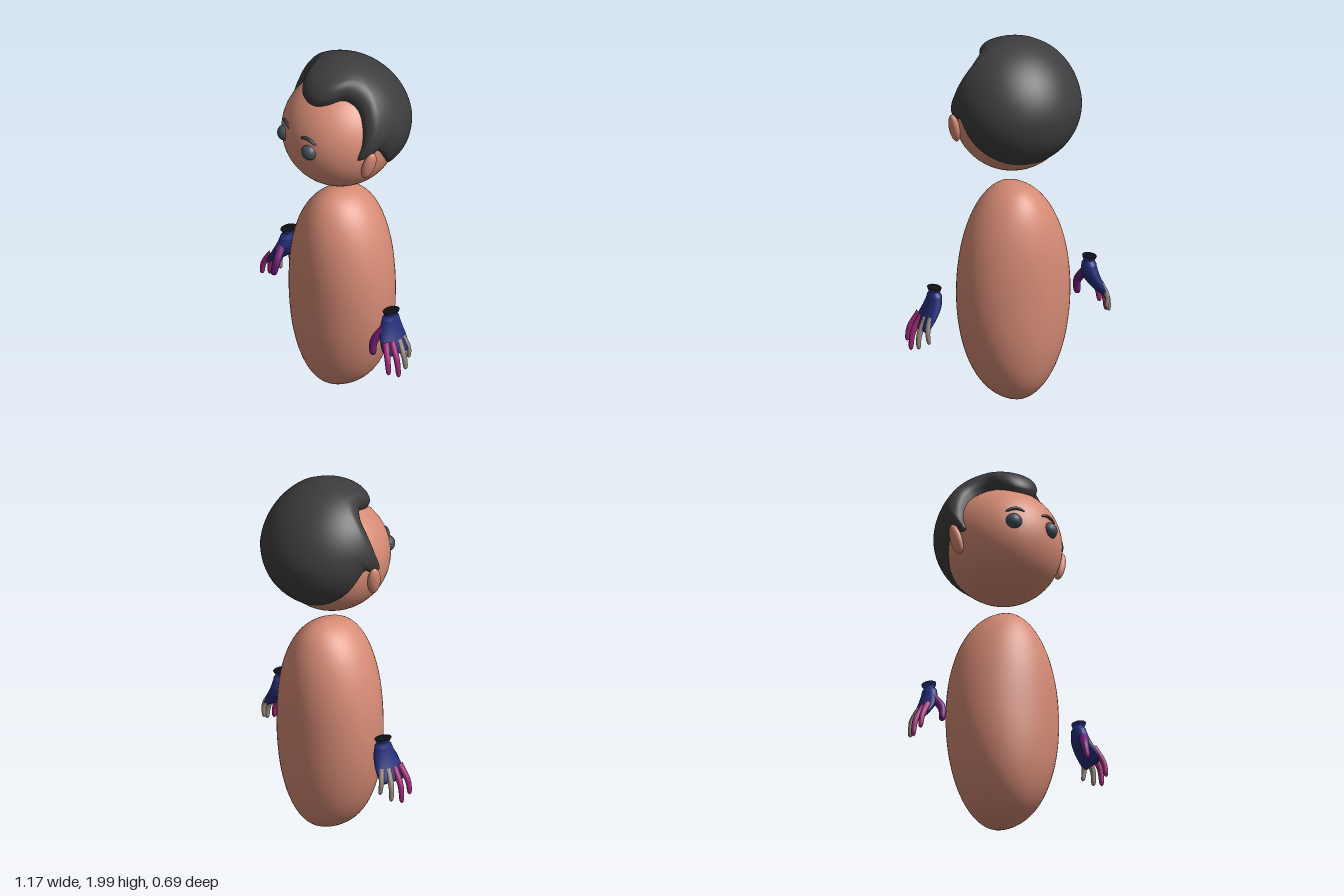
import * as THREE from 'three';
import { mergeVertices } from 'three/addons/utils/BufferGeometryUtils.js';
import { ParametricGeometry } from 'three/addons/geometries/ParametricGeometry.js';

const V = (x, y, z) => new THREE.Vector3(x, y, z);
const mat = (color, side = THREE.FrontSide) => new THREE.MeshStandardMaterial({ color, side });
const SKIN = mat(0xd68b75), HAIR = mat(0x3d3d3f, THREE.DoubleSide), EYE = mat(0x434f58);
const NAVY = mat(0x25307c, THREE.DoubleSide), DARK = mat(0x101012);
const MAGENTA = mat(0xa02a78), TAN = mat(0x9a8a80), PLUM = mat(0x6a1c74);

const HEAD = V(0, 1.585, 0.03), HEAD_R = 0.305;

function add(parent, name, geometry, material) {
  const mesh = new THREE.Mesh(geometry, material);
  mesh.name = name;
  parent.add(mesh);
  return mesh;
}

// Quarter-circle falloff: 1 at s <= 0, 0 at s >= 1
function roundOff(s) {
  const c = THREE.MathUtils.clamp(s, 0, 1);
  return Math.sqrt(1 - c * c);
}

// Welds seams so the surface shades smoothly
function smooth(g) {
  g.deleteAttribute('uv');
  g.deleteAttribute('normal');
  const welded = mergeVertices(g, 1e-5);
  welded.computeVertexNormals();
  return welded;
}

// Tube through points whose radius follows a rule
function sweep(points, radius, segments = 20, sides = 14) {
  const curve = new THREE.CatmullRomCurve3(points);
  const g = new THREE.TubeGeometry(curve, segments, 1, sides, false);
  const p = g.attributes.position, v = V();
  for (let i = 0; i < p.count; i++) {
    const t = Math.floor(i / (sides + 1)) / segments;
    const c = curve.getPointAt(t);
    v.fromBufferAttribute(p, i).sub(c).multiplyScalar(radius(t)).add(c);
    p.setXYZ(i, v.x, v.y, v.z);
  }
  return smooth(g);
}

// Egg-shaped body: elliptical from the front, fuller from the side
function bodyGeometry() {
  const g = new THREE.SphereGeometry(1, 56, 40);
  const p = g.attributes.position;
  for (let i = 0; i < p.count; i++) {
    const y = THREE.MathUtils.clamp(p.getY(i), -1, 1);
    const ring = Math.sqrt(Math.max(1e-6, 1 - y * y));
    const depth = Math.pow(1 - Math.pow(Math.abs(y), 2.6), 1 / 2.6);
    p.setXYZ(i, p.getX(i) * 0.305, 0.6 + y * 0.595, 0.018 + (p.getZ(i) / ring) * depth * 0.262);
  }
  return smooth(g);
}

// Hair: a shell spread from the crown to a hairline, rolling into the head at its edge
function hairGeometry() {
  const centre = V(0, 1.65, 0), crown = V(0, 0.8, -0.6);
  const side = [
    [0.06, 1.83, 0.225], [0.1, 1.845, 0.18], [0.135, 1.86, 0.1], [0.2, 1.825, 0.062],
    [0.255, 1.75, 0.07], [0.283, 1.66, 0.095], [0.285, 1.575, 0.125], [0.295, 1.59, 0.06],
    [0.296, 1.61, 0.02], [0.27, 1.48, -0.07], [0.17, 1.39, -0.14],
  ];
  const line = new THREE.CatmullRomCurve3([
    V(0, 1.82, 0.235), ...side.map(([x, y, z]) => V(-x, y, z)),
    V(0, 1.365, -0.18), ...side.map(([x, y, z]) => V(x, y, z)).reverse(),
  ], true);
  const offset = HEAD.clone().sub(centre);
  return smooth(new ParametricGeometry((u, v, out) => {
    const edge = line.getPointAt(u % 1).sub(centre).normalize();
    const angle = crown.angleTo(edge);
    out.copy(crown).multiplyScalar(Math.sin((1 - v) * angle))
      .addScaledVector(edge, Math.sin(v * angle)).normalize();
    // Distance to the head's surface along this direction
    const d = out.dot(offset);
    const inner = d + Math.sqrt(d * d + HEAD_R ** 2 - offset.lengthSq());
    const backDip = 0.018 * Math.max(0, -2 * out.y * out.z);
    const outer = Math.max(0.347 - backDip, inner + 0.012);
    const r = THREE.MathUtils.lerp(inner - 0.004, outer, roundOff((v - 0.72) / 0.28));
    out.multiplyScalar(r).add(centre);
  }, 144, 44));
}

// Palm: oval sections from the open wrist down to the knuckles [y, x, z, rx, rz]
function palmGeometry() {
  const rows = [
    [0.695, 0.457, 0.032, 0.034, 0.048], [0.655, 0.455, 0.034, 0.034, 0.048],
    [0.6, 0.463, 0.038, 0.04, 0.064], [0.55, 0.485, 0.042, 0.036, 0.077],
    [0.505, 0.512, 0.045, 0.027, 0.082], [0.48, 0.527, 0.045, 0.019, 0.076],
    [0.468, 0.532, 0.045, 0.002, 0.06],
  ];
  const pos = new THREE.CatmullRomCurve3(rows.map((r) => V(r[1], r[0], r[2])));
  const size = new THREE.CatmullRomCurve3(rows.map((r) => V(r[3], 0, r[4])));
  return smooth(new ParametricGeometry((u, v, out) => {
    const a = (u % 1) * Math.PI * 2, c = pos.getPoint(v), s = size.getPoint(v);
    out.set(c.x + Math.cos(a) * s.x, c.y, c.z + Math.sin(a) * s.z);
  }, 28, 24));
}

function hand() {
  const g = new THREE.Group();
  add(g, 'palm', palmGeometry(), NAVY);
  const cap = add(g, 'wristOpening', new THREE.CircleGeometry(1, 28), DARK);
  cap.scale.set(0.033, 0.047, 1);
  cap.rotation.x = -Math.PI / 2;
  cap.position.set(0.457, 0.692, 0.032);
  const digits = [
    ['thumb', PLUM, 0.026, [[0.46, 0.6, 0.075], [0.436, 0.53, 0.125], [0.444, 0.447, 0.14]]],
    ['indexFinger', MAGENTA, 0.019, [[0.505, 0.545, 0.1], [0.553, 0.46, 0.122], [0.567, 0.383, 0.125]]],
    ['middleFinger', MAGENTA, 0.019, [[0.51, 0.54, 0.065], [0.562, 0.45, 0.07], [0.576, 0.353, 0.068]]],
    ['ringFinger', TAN, 0.018, [[0.508, 0.54, 0.025], [0.553, 0.45, 0.018], [0.56, 0.372, 0.012]]],
    ['littleFinger', TAN, 0.016, [[0.5, 0.545, -0.008], [0.528, 0.475, -0.028], [0.522, 0.408, -0.032]]],
  ];
  for (const [name, material, r, pts] of digits) {
    const radius = (t) => r * (1 - 0.35 * t) * roundOff((t - 0.85) / 0.15);
    add(g, name, sweep(pts.map((p) => V(...p)), radius), material);
  }
  return g;
}

// Eye, eyebrow and ear of the model's left side
function faceSide() {
  const g = new THREE.Group();
  const eye = add(g, 'eye', new THREE.SphereGeometry(0.044, 28, 20), EYE);
  eye.position.set(0.108, 1.602, 0.3);

  const brow = [[0.05, 1.663, 0.318], [0.075, 1.676, 0.312], [0.11, 1.676, 0.302], [0.15, 1.656, 0.289]];
  add(g, 'eyebrow', sweep(brow.map((p) => V(...p)),
    (t) => 0.0095 * Math.pow(Math.max(0, Math.sin(Math.PI * t)), 0.45)), HAIR);

  const ear = add(g, 'ear', new THREE.SphereGeometry(1, 28, 20), SKIN);
  ear.scale.set(0.026, 0.084, 0.038);
  ear.rotation.set(-0.16, 0, -0.24);
  ear.position.set(0.316, 1.54, 0.074);
  return g;
}

export function createModel() {
  const model = new THREE.Group();
  model.name = 'floatingFigure';
  add(model, 'body', bodyGeometry(), SKIN);
  add(model, 'head', new THREE.SphereGeometry(HEAD_R, 48, 36), SKIN).position.copy(HEAD);
  add(model, 'hair', hairGeometry(), HAIR);

  // Mirror the paired parts
  for (const [label, sign] of [['left', 1], ['right', -1]]) {
    for (const [name, build] of [['Hand', hand], ['FaceSide', faceSide]]) {
      const part = build();
      part.name = label + name;
      part.scale.x = sign;
      model.add(part);
    }
  }
  return model;
}
